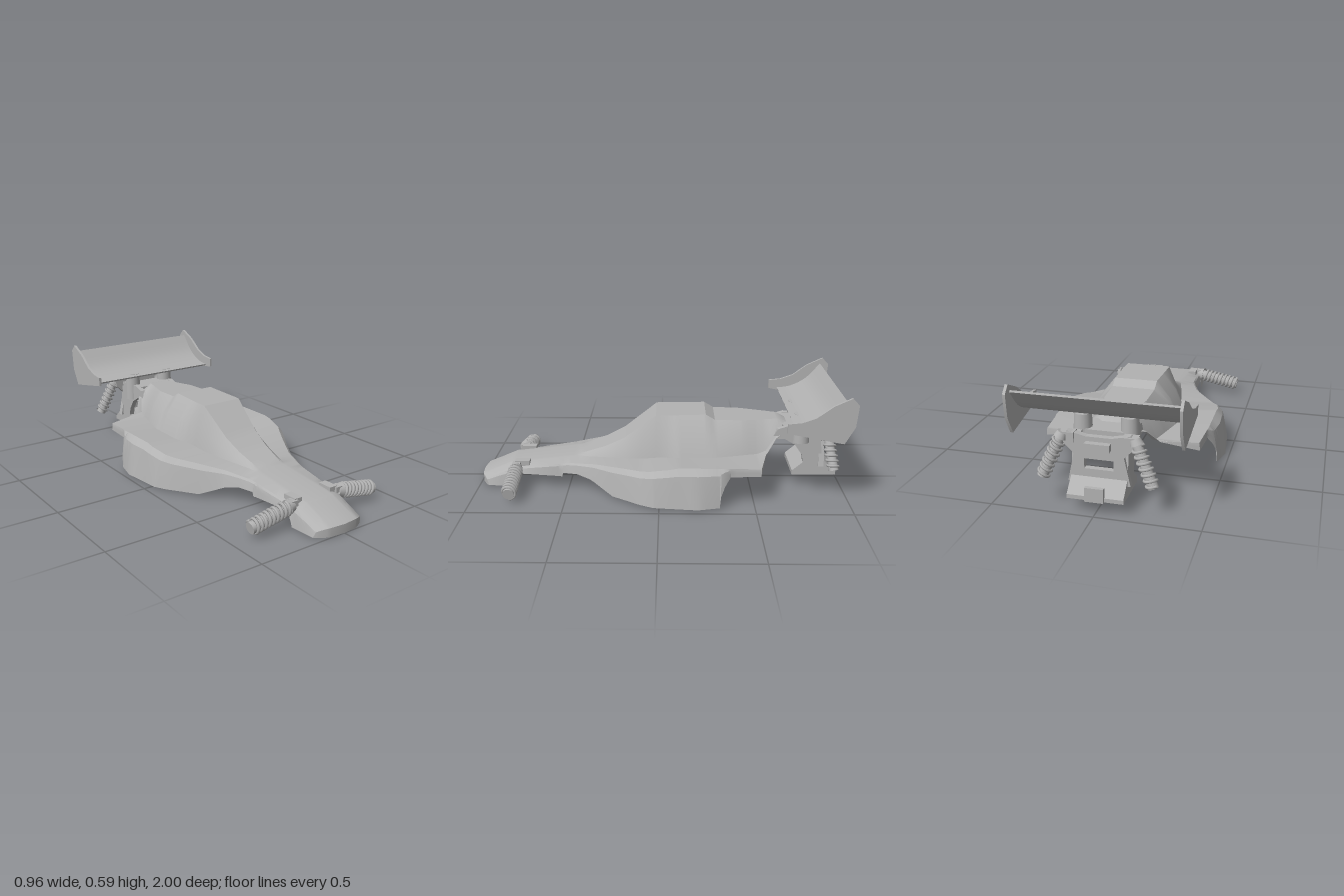
import * as THREE from 'three';
import { toCreasedNormals } from 'three/addons/utils/BufferGeometryUtils.js';

const plastic = new THREE.MeshStandardMaterial({ color: 0xb2b2b2, side: THREE.DoubleSide });
plastic.name = 'grey plastic';

// Linear lookup in a list of [z, value] pairs ordered from front (+z) to back.
function at(list, z) {
  if (z >= list[0][0]) return list[0][1];
  for (let i = 1; i < list.length; i++) {
    const [z0, a] = list[i - 1], [z1, b] = list[i];
    if (z >= z1) return a + (b - a) * (z0 - z) / (z0 - z1);
  }
  return list[list.length - 1][1];
}
const mix = THREE.MathUtils.lerp;

// Body rules along z: half widths and heights of each line of the shell
const hemX = [[1, .155], [.8, .163], [.55, .175], [.45, .205], [.35, .25], [.2, .35], [.1, .42], [.03, .455],
  [-.2, .48], [-.32, .452], [-.37, .41], [-.53, .4], [-.575, .21], [-.65, .14], [-.72, .1]];
const hemY = [[.815, 0], [.79, .05], [.77, .075], [.535, .065], [.53, .088], [.45, .09], [.38, .075], [.3, .035],
  [.25, .01], [-.315, .01], [-.32, .07], [-.34, .12], [-.37, .165], [-.53, .165], [-.575, .21], [-.63, .28], [-.72, .315]];
const shoulderX = [[1, .135], [.8, .142], [.5, .165], [.35, .215], [.2, .3], [.05, .39], [-.05, .41],
  [-.33, .41], [-.53, .395], [-.575, .205], [-.65, .138], [-.72, .098]];
const shoulderY = [[1, .035], [.93, .06], [.8, .1], [.5, .14], [.1, .175], [0, .195], [-.1, .213],
  [-.3, .213], [-.53, .205], [-.575, .215], [-.63, .285], [-.72, .32]];
const baseX = [[1, .1], [.46, .095], [.2, .155], [0, .19], [-.1, .235], [-.3, .235], [-.45, .2],
  [-.575, .17], [-.65, .125], [-.72, .09]];
const baseY = [[1, .045], [.93, .072], [.83, .112], [.46, .155], [.1, .17], [-.1, .2], [-.53, .205],
  [-.575, .22], [-.63, .29], [-.72, .322]];
const roofX = [[1, .08], [.45, .075], [.2, .1], [0, .12], [-.2, .115], [-.45, .11], [-.6, .07], [-.72, .035]];
const roofY = [[1, .047], [.93, .075], [.83, .115], [.46, .157], [.3, .212], [.2, .262], [.02, .4], [-.25, .406],
  [-.3, .376], [-.65, .366], [-.72, .335]];

// Half of one cross-section, from the hem to the centre line
function halfSection(z) {
  const [hx, hy, sx, sy, bx, by, rx, ry] =
    [hemX, hemY, shoulderX, shoulderY, baseX, baseY, roofX, roofY].map(l => at(l, z));
  return [[hx, hy], [mix(sx, hx, .72), mix(sy, hy, .5)], [mix(sx, hx, .5), mix(sy, hy, .16)], [sx, sy],
    [bx, by], [mix(bx, rx, .4), mix(by, ry, .55)], [rx, ry], [0, ry]];
}

function shellGeometry() {
  const stops = new Set([hemX, hemY, shoulderX, baseX, roofY].flat().map(p => p[0]));
  for (let z = 1; z > -.72; z -= .04) stops.add(+z.toFixed(3));
  const zs = [...stops].sort((a, b) => b - a);
  const rows = zs.map(z => {
    const half = halfSection(z);
    const full = [...half, ...half.slice(0, -1).reverse().map(([x, y]) => [-x, y])];
    // The nose is rounded in plan
    const bend = THREE.MathUtils.clamp((z - .8) / .2, 0, 1) * .05;
    return full.map(([x, y]) => [x, y, z - bend * Math.abs(x / .155) ** 3]);
  });
  rows.unshift(rows[0].map(([x, , z]) => [x, 0, z]));
  const n = rows[0].length, index = [];
  for (let r = 0; r < rows.length - 1; r++) {
    for (let i = 0; i < n - 1; i++) {
      const a = r * n + i, b = a + n;
      index.push(a, a + 1, b, a + 1, b + 1, b);
    }
  }
  const g = new THREE.BufferGeometry();
  g.setAttribute('position', new THREE.Float32BufferAttribute(rows.flat(2), 3));
  g.setIndex(index);
  return toCreasedNormals(g, .45);
}

// Side outline given as [z, y] points, extruded across x and centred on x = 0
function sidePlate(points, width) {
  const shape = new THREE.Shape(points.map(([z, y]) => new THREE.Vector2(-z, y)));
  const g = new THREE.ExtrudeGeometry(shape, { depth: width, bevelEnabled: false });
  g.translate(0, 0, -width / 2);
  g.rotateY(Math.PI / 2);
  return toCreasedNormals(g, .5);
}

export function createModel() {
  const model = new THREE.Group();
  model.name = 'buggyBody';
  const add = (name, geometry, parent = model, x = 0, y = 0, z = 0) => {
    const m = new THREE.Mesh(geometry, plastic);
    m.name = name;
    m.position.set(x, y, z);
    parent.add(m);
    return m;
  };
  const box = (name, w, h, d, x, y, z) => add(name, new THREE.BoxGeometry(w, h, d), model, x, y, z);

  // Damper with a coil spring between two points
  const shock = (name, from, to, radius, turns) => {
    const a = new THREE.Vector3(...from), b = new THREE.Vector3(...to);
    const len = a.distanceTo(b), g = new THREE.Group();
    g.name = name;
    g.position.copy(a);
    g.quaternion.setFromUnitVectors(new THREE.Vector3(0, 1, 0), b.clone().sub(a).normalize());
    add('damper', new THREE.CylinderGeometry(radius * .72, radius * .65, len, 16), g, 0, len / 2);
    add('springCap', new THREE.CylinderGeometry(radius * .9, radius * .7, len * .12, 16), g, 0, len * .06);
    const pts = [];
    for (let i = 0; i <= turns * 12; i++) {
      const t = i / 12 * Math.PI * 2, r = radius * .8;
      pts.push(new THREE.Vector3(Math.cos(t) * r, len * (.14 + .83 * i / (turns * 12)), Math.sin(t) * r));
    }
    add('spring', new THREE.TubeGeometry(new THREE.CatmullRomCurve3(pts), turns * 14, radius * .2, 6), g);
    model.add(g);
  };

  add('bodyShell', shellGeometry());

  // Rear wing: a thin curved blade between two end plates
  const curve = new THREE.SplineCurve([[-.7, .41], [-.78, .422], [-.87, .47], [-.95, .56]].map(p => new THREE.Vector2(...p)));
  const line = curve.getPoints(12).map(p => [p.x, p.y]);
  add('wingBlade', sidePlate([...line, ...line.map(([z, y]) => [z - .004, y - .009]).reverse()], .79));
  const plate = [[-.65, .455], [-.72, .462], [-.79, .487], [-.875, .55], [-.965, .592], [-1, .555], [-.99, .44],
    [-.94, .35], [-.875, .362], [-.65, .405]];
  const bracket = [[-.64, .33], [-.61, .275], [-.68, .275], [-.74, .24], [-.78, .18], [-.8, .07], [-.9, .07], [-.87, .34], [-.7, .35]];

  for (const s of [1, -1]) {
    add('wingEndPlate', sidePlate(plate, .014), model, s * .401);
    add('wingPost', new THREE.CylinderGeometry(.042, .048, .16, 16), model, s * .115, .335, -.77);
    add('rearBracket', sidePlate(bracket, .03), model, s * .12);
    box('shockTopMount', .07, .05, .05, s * .15, .34, -.885);
    shock('rearShock', [s * .17, .36, -.895], [s * .265, .145, -.93], .036, 7);
    box('frontShockMount', .045, .035, .08, s * .115, .12, .76);
    box('frontShockArm', .04, .03, .045, s * .145, .118, .79);
    shock('frontShock', [s * .145, .107, .79], [s * .402, .057, .79], .043, 9);
  }

  // Gearbox, shock tower and rear bumper
  add('gearboxFloor', sidePlate([[-.73, .065], [-.97, .065], [-.97, .085], [-.9, .15], [-.8, .15], [-.73, .09]], .27));
  const tower = new THREE.Shape([[-.15, .12], [.15, .12], [.12, .26], [.19, .33], [.15, .37], [.06, .35],
    [-.06, .35], [-.15, .37], [-.19, .33], [-.12, .26]].map(p => new THREE.Vector2(...p)));
  tower.holes.push(new THREE.Path([[-.07, .19], [-.07, .24], [.07, .24], [.07, .19]].map(p => new THREE.Vector2(...p))));
  add('shockTower', new THREE.ExtrudeGeometry(tower, { depth: .03, bevelEnabled: false }), model, 0, 0, -.9);
  box('towerCrossbar', .12, .035, .06, 0, .31, -.9);
  box('tailBridge', .22, .04, .14, 0, .325, -.74);
  box('bumperTab', .09, .07, .02, 0, .1, -.975);
  return model;
}
